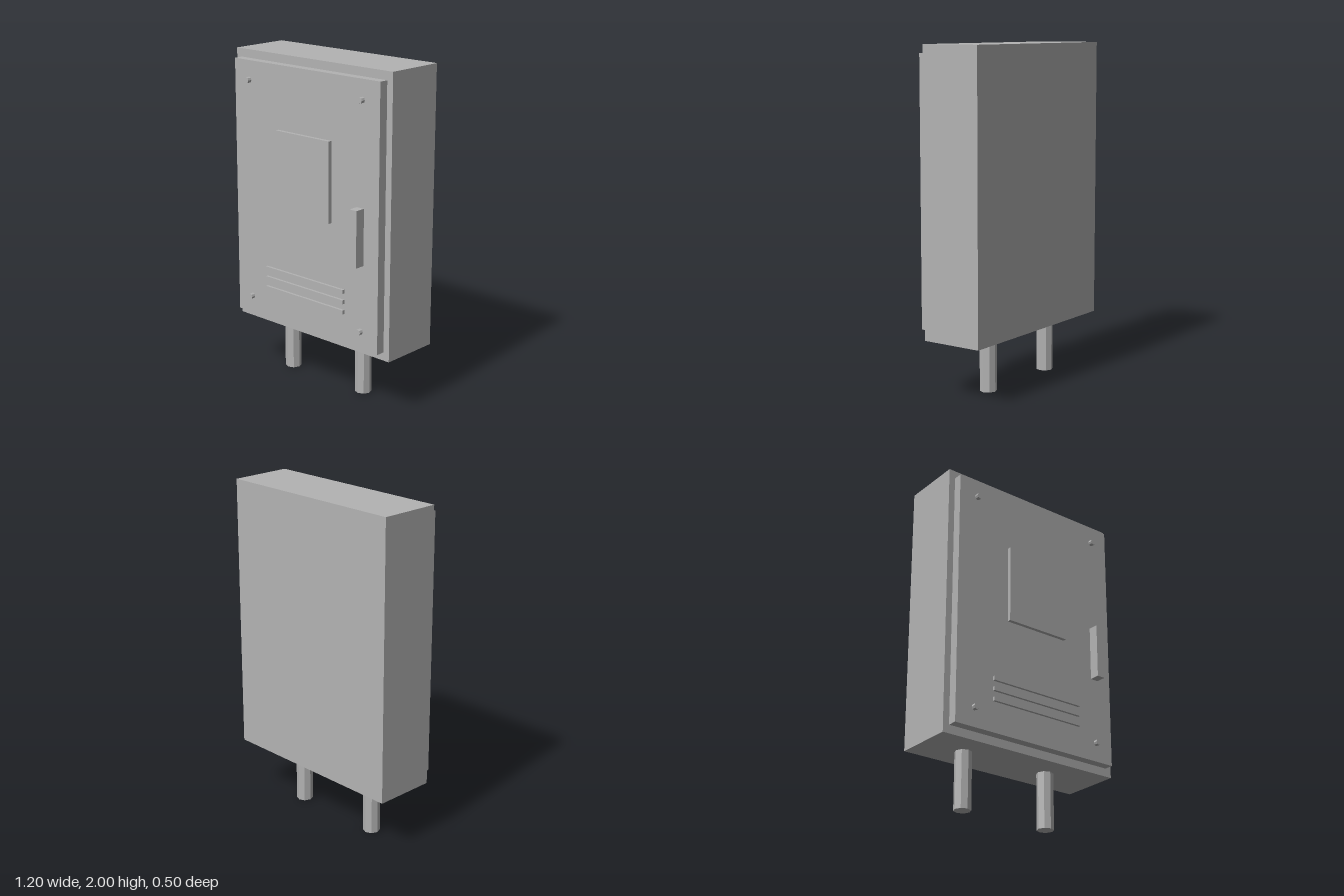
import * as THREE from 'three';

export function createModel() {
  const root = new THREE.Group();
  root.name = 'electricalCabinet';

  const grey = new THREE.MeshStandardMaterial({ color: 0xb3b3b3 });
  grey.name = 'paintedGrey';
  grey.flatShading = true;

  const add = (name, geometry) => {
    const mesh = new THREE.Mesh(geometry, grey);
    mesh.name = name;
    root.add(mesh);
    return mesh;
  };

  // Box given by its extents on each axis
  const box = (name, [x0, x1], [y0, y1], [z0, z1]) =>
    add(name, new THREE.BoxGeometry(x1 - x0, y1 - y0, z1 - z0))
      .position.set((x0 + x1) / 2, (y0 + y1) / 2, (z0 + z1) / 2);

  // Housing and raised door
  box('housing', [-0.6, 0.6], [0.34, 2], [-0.25, 0.123]);
  box('door', [-0.56, 0.56], [0.39, 1.95], [0.123, 0.179]);

  // Door fittings
  box('signPlate', [-0.208, 0.208], [1.096, 1.573], [0.179, 0.202]);
  box('handle', [0.408, 0.46], [0.9, 1.232], [0.188, 0.25]);
  for (const y of [0.71, 0.648, 0.586]) {
    box('ventSlat', [-0.31, 0.31], [y - 0.012, y + 0.012], [0.179, 0.195]);
  }

  // Corner bolts, lying along z
  for (const x of [-0.438, 0.438]) {
    for (const y of [0.502, 1.836]) {
      const bolt = add('bolt', new THREE.CylinderGeometry(0.018, 0.018, 0.025, 8));
      bolt.rotation.x = Math.PI / 2;
      bolt.position.set(x, y, 0.196);
    }
  }

  // Supporting posts, unevenly spaced
  for (const x of [-0.333, 0.25]) {
    add('post', new THREE.CylinderGeometry(0.05, 0.05, 0.36, 8)).position.set(x, 0.18, -0.06);
  }

  return root;
}
